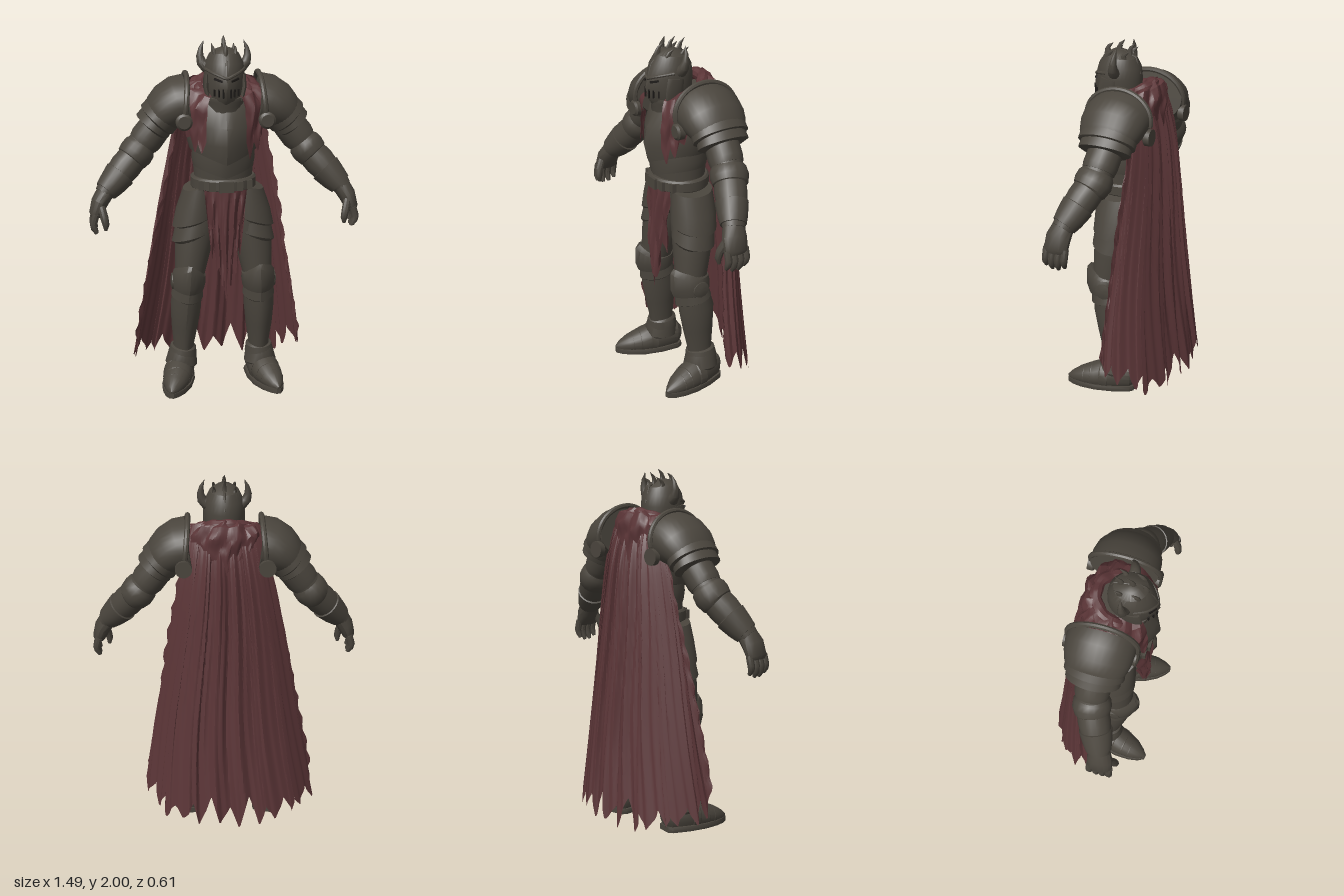
import * as THREE from 'three';
import { toCreasedNormals } from 'three/addons/utils/BufferGeometryUtils.js';

const armour = new THREE.MeshStandardMaterial({ color: 0x4a453d });
armour.name = 'dark steel';
const cloth = new THREE.MeshStandardMaterial({ color: 0x5b3537, side: THREE.DoubleSide });
cloth.name = 'worn red cloth';
const shadow = new THREE.MeshStandardMaterial({ color: 0x1d1a18 });
shadow.name = 'visor black';

const V = (x, y, z) => new THREE.Vector3(x, y, z);
const hash = n => { const s = Math.sin(n * 127.1 + 3.7) * 43758.5453; return s - Math.floor(s); };
const tri = t => Math.abs((t - Math.floor(t)) * 2 - 1);
const tent = (x, w) => Math.max(0, 1 - Math.abs(x) / w);

function add(parent, name, geo, mat = armour, crease = 0.6) {
  const mesh = new THREE.Mesh(toCreasedNormals(geo, crease), mat);
  mesh.name = name;
  parent.add(mesh);
  return mesh;
}

function meshFrom(pos, idx) {
  const g = new THREE.BufferGeometry();
  g.setAttribute('position', new THREE.Float32BufferAttribute(pos, 3));
  g.setIndex(idx);
  g.computeVertexNormals();
  return g;
}

// Closed loft along rows of [x, y, z, radius across, radius along ref]
function limb(rows, seg = 20, ref = V(0, 0, 1)) {
  const c = rows.map(r => V(r[0], r[1], r[2])), pos = [], idx = [], n = rows.length;
  rows.forEach((r, j) => {
    const T = c[Math.min(j + 1, n - 1)].clone().sub(c[Math.max(j - 1, 0)]).normalize();
    const B = ref.clone().addScaledVector(T, -ref.dot(T)).normalize(), A = B.clone().cross(T);
    for (let i = 0; i < seg; i++) {
      const a = i / seg * Math.PI * 2;
      const p = c[j].clone().addScaledVector(A, Math.cos(a) * r[3]).addScaledVector(B, Math.sin(a) * (r[4] ?? r[3]));
      pos.push(p.x, p.y, p.z);
    }
  });
  pos.push(...c[0].toArray(), ...c[n - 1].toArray());
  for (let i = 0; i < seg; i++) {
    const k = (i + 1) % seg, e = (n - 1) * seg;
    for (let j = 0; j < n - 1; j++) {
      const o = j * seg, q = o + seg;
      idx.push(o + i, o + k, q + k, o + i, q + k, q + i);
    }
    idx.push(n * seg, k, i, n * seg + 1, e + i, e + k);
  }
  return meshFrom(pos, idx);
}

// Open sheet from a rule (u, v in 0..1) => Vector3
function sheet(fn, nu, nv) {
  const pos = [], idx = [];
  for (let j = 0; j <= nv; j++) for (let i = 0; i <= nu; i++) pos.push(...fn(i / nu, j / nv).toArray());
  for (let j = 0; j < nv; j++) for (let i = 0; i < nu; i++) {
    const a = j * (nu + 1) + i, b = a + nu + 1;
    idx.push(a, b, a + 1, b, b + 1, a + 1);
  }
  return meshFrom(pos, idx);
}

function warp(geo, fn) {
  const p = geo.attributes.position, v = V(0, 0, 0);
  for (let i = 0; i < p.count; i++) { v.fromBufferAttribute(p, i); fn(v); p.setXYZ(i, v.x, v.y, v.z); }
  geo.computeVertexNormals();
  return geo;
}

// Ragged hem: pointed teeth of uneven length
function teeth(u, n, low, high) {
  const k = Math.floor(u * n), f = u * n - k;
  const notch = m => high * (0.6 + 0.4 * hash(m + 40)), tip = low + high * 0.35 * hash(k);
  return f < 0.55 ? THREE.MathUtils.lerp(notch(k), tip, f / 0.55) : THREE.MathUtils.lerp(tip, notch(k + 1), (f - 0.55) / 0.45);
}

function buildTorso(g) {
  add(g, 'belly plate', limb([[0, 1.1, .05, .165, .13], [0, 1.22, .05, .16, .14], [0, 1.32, .05, .17, .15], [0, 1.42, .05, .17, .15]], 28));
  // overlapping plates with a pointed lower edge and a centre ridge
  const plate = (name, rows, drop, k) => add(g, name, warp(limb(rows, 36), v => {
    if (v.z < .05) return;
    if (v.y < rows[1][1]) v.y -= drop * tent(v.x, .17);
    v.z += k * tent(v.x, .11) * tent(v.y - 1.42, .25);
  }));
  plate('waist lame', [[0, 1.29, .05, .168, .15], [0, 1.33, .05, .175, .157], [0, 1.4, .05, .17, .15]], .05, .03);
  plate('breastplate', [[0, 1.38, .05, .185, .16], [0, 1.42, .05, .197, .172], [0, 1.5, .045, .212, .177], [0, 1.6, .025, .205, .16],
    [0, 1.67, .015, .17, .14], [0, 1.72, .02, .1, .1]], .06, .045);
  add(g, 'gorget', limb([[0, 1.56, .06, .13, .13], [0, 1.61, .07, .125, .135], [0, 1.655, .08, .115, .125], [0, 1.66, .08, .125, .135], [0, 1.68, .08, .125, .135], [0, 1.685, .08, .11, .12]], 28));
  add(g, 'belt', limb([[0, 1.16, .05, .172, .155], [0, 1.17, .05, .182, .165], [0, 1.22, .05, .182, .165], [0, 1.23, .05, .172, .155]], 28));
  add(g, 'buckle', new THREE.BoxGeometry(.08, .06, .025)).position.set(0, 1.195, .212);
  for (const x of [-.13, -.075, .075, .13])
    add(g, 'belt fitting', new THREE.BoxGeometry(.035, .05, .025)).position.set(x, 1.195, .047 + .165 * Math.sqrt(1 - (x / .182) ** 2));
  add(g, 'hips', limb([[0, 1.0, .04, .08, .09], [0, 1.05, .04, .16, .13], [0, 1.17, .05, .17, .14]], 24));
}

function buildHead(g) {
  const helm = [[0, 1.63, .1, .08, .09], [0, 1.67, .1, .097, .112], [0, 1.74, .1, .106, .124], [0, 1.8, .1, .11, .125],
    [0, 1.86, .098, .104, .117], [0, 1.91, .095, .08, .09], [0, 1.935, .092, .045, .05], [0, 1.945, .09, .01, .01]];
  const ridge = (x, y) => .028 * tent(x, .08) * tent(y - 1.74, .14);
  add(g, 'helmet', warp(limb(helm, 32), v => { if (v.z > .1) v.z += ridge(v.x, v.y); }), armour, .5);
  const face = (x, y) => .1 + .125 * Math.sqrt(1 - (x / .11) ** 2) + ridge(x, y);
  // brow ridge and visor openings
  const brow = [-.105, -.07, -.035, 0, .035, .07, .105].map(x => V(x, 1.795 + Math.abs(x) * .35, face(x, 1.8) - .003));
  add(g, 'brow ridge', new THREE.TubeGeometry(new THREE.CatmullRomCurve3(brow), 24, .009, 8));
  add(g, 'crest ridge', limb([[0, 1.81, .232, .006], [0, 1.87, .213, .006], [0, 1.925, .165, .006], [0, 1.942, .09, .006], [0, 1.91, .005, .006], [0, 1.82, -.02, .006]], 8, V(1, 0, 0)));
  for (const s of [-1, 1]) {
    const slit = (name, x, y, w, h, tilt) => {
      const m = add(g, name, new THREE.BoxGeometry(w, h, .009), shadow);
      m.position.set(x * s, y, face(x, y) + .001);
      m.rotation.set(0, s * (.35 + x * 5), s * tilt, 'YXZ');
    };
    slit('eye slit', .045, 1.785, .05, .011, .25);
    for (const x of [.02, .042, .064]) slit('breath slit', x, 1.715, .007, .055 - x * .3, 0);
    add(g, 'cheek guard', limb([[.1 * s, 1.8, .12, .014, .05], [.102 * s, 1.73, .13, .014, .055], [.085 * s, 1.655, .15, .012, .03]], 12));
    add(g, 'horn', limb([[.075, 1.835, .09, .036], [.1, 1.838, .088, .033], [.121, 1.86, .085, .027], [.129, 1.895, .08, .02],
      [.124, 1.935, .075, .012], [.108, 1.975, .07, .001]].map(r => [r[0] * s, ...r.slice(1)]), 12));
    for (const z of [.05, .14]) spike(.05 * s, 1.895, z, 1.95);
  }
  function spike(x, y, z, top) {
    add(g, 'crown spike', limb([[x, y, z, .014, .024], [x * 1.1, (y * 2 + top) / 3, z + .004, .012, .018], [x * 1.15, (y + top * 2) / 3, z - .004, .008, .011], [x * 1.2, top, z - .03, .001]], 8));
  }
  spike(0, 1.91, .17, 1.975);
  spike(0, 1.92, .1, 2);
  spike(0, 1.9, .04, 1.985);
}

function buildArm(g, s) {
  const part = (name, rows, seg, ref) => add(g, name, limb(rows.map(([x, ...r]) => [x * s, ...r]), seg, ref));
  // shoulder
  part('pauldron', [[.195, 1.64, .005, .143, .184], [.245, 1.632, .005, .142, .186], [.295, 1.605, .005, .131, .18], [.335, 1.572, .005, .113, .166], [.362, 1.547, .005, .094, .148]], 32);
  part('upper shoulder lame', [[.325, 1.575, .005, .113, .16], [.36, 1.535, .005, .115, .162], [.367, 1.528, .005, .1, .145]], 28);
  part('lower shoulder lame', [[.35, 1.55, .005, .1, .142], [.385, 1.5, .005, .106, .148], [.392, 1.492, .005, .09, .12]], 28);
  const rim = [];
  for (let a = -.2; a <= Math.PI + .21; a += .175) rim.push(V(s * (.214 - .014 * Math.sin(a)), 1.632 + .155 * Math.sin(a), .007 + .188 * Math.cos(a)));
  add(g, 'pauldron rim', new THREE.TubeGeometry(new THREE.CatmullRomCurve3(rim), 40, .015, 8));
  for (const z of [.185, -.175])
    part('roundel', [[.225, 1.555, z - .02, .046], [.225, 1.555, z + .012, .046], [.225, 1.555, z + .022, .034]], 18, V(0, 1, 0));
  // arm
  part('upper arm', [[.28, 1.6, 0, .08, .09], [.37, 1.49, .005, .085, .09], [.47, 1.37, .02, .08, .085]]);
  part('upper arm plate', [[.365, 1.5, .005, .09, .095], [.42, 1.43, .012, .093, .095], [.44, 1.405, .014, .085, .09]]);
  part('elbow guard', [[.435, 1.41, .015, .07, .08], [.455, 1.385, .02, .092, .1], [.478, 1.355, .025, .096, .106], [.505, 1.325, .035, .088, .096], [.515, 1.315, .04, .07, .08]]);
  part('forearm', [[.47, 1.36, .02, .08, .085], [.54, 1.285, .055, .086, .088], [.6, 1.22, .085, .074, .078], [.665, 1.15, .115, .05, .06]]);
  part('gauntlet cuff', [[.565, 1.255, .068, .07, .07], [.57, 1.25, .07, .088, .09], [.62, 1.195, .095, .075, .08], [.65, 1.165, .11, .064, .07]]);
  // hand
  part('hand plate', [[.65, 1.165, .11, .05, .06], [.685, 1.11, .125, .048, .07], [.71, 1.045, .13, .036, .068], [.712, 1.03, .13, .025, .06]], 14);
  for (let i = 0; i < 4; i++) {
    const z = .075 + i * .036, d = i % 3 ? 0 : .015;
    part('finger', [[.708, 1.055, z, .02], [.724, 1.0, z, .02], [.72, .965 + d, z + .003, .018], [.706, .937 + d, z + .005, .01]], 10);
  }
  part('thumb', [[.68, 1.1, .17, .022], [.664, 1.04, .2, .022], [.656, 1.0, .205, .019], [.658, .968, .2, .009]], 10);
}

function buildLeg(g, s) {
  // the stance leans slightly to the right towards the feet
  const rowsOf = rows => rows.map(([x, y, ...r]) => [x * s - .014 * Math.max(0, 1 - y / .7), y, ...r]);
  const part = (name, rows, fn = () => {}, seg = 24, ref) => add(g, name, warp(limb(rowsOf(rows), seg, ref), fn));
  part('thigh', [[.11, 1.13, .045, .1, .115], [.145, .97, .05, .115, .118], [.175, .8, .07, .1, .105], [.192, .66, .085, .082, .088]]);
  // hip and thigh plates, hanging lower on the outside
  const slant = v => { v.y -= (v.x * s - .17) * .45; };
  part('hip plate', [[.135, 1.16, .045, .09, .12], [.15, 1.06, .045, .115, .128], [.163, .97, .05, .123, .128], [.165, .96, .05, .11, .115]], slant);
  part('thigh plate', [[.16, .97, .05, .11, .118], [.175, .885, .06, .116, .12], [.177, .875, .06, .1, .105]], slant);
  // knee, ridged at the front and peaked at the top
  const keel = v => { if (v.z > .09) v.z += .022 * tent(v.x * s - .197, .07); };
  const peak = v => { keel(v); if (v.z > .09 && v.y > .66) v.y += .045 * tent(v.x * s - .195, .08); };
  part('knee guard', [[.19, .685, .088, .08, .09], [.193, .672, .09, .092, .106], [.197, .63, .088, .096, .11], [.2, .585, .08, .09, .1], [.2, .575, .08, .078, .088]], peak);
  part('knee wing', [[.265, .62, .075, .055, .05], [.292, .62, .075, .048, .045], [.298, .62, .075, .02, .02]], undefined, 12, V(0, 1, 0));
  part('lower knee band', [[.2, .59, .08, .08, .09], [.203, .535, .068, .091, .1], [.204, .525, .066, .08, .09]], keel);
  part('greave', [[.2, .6, .075, .08, .085], [.208, .48, .055, .087, .1], [.213, .35, .045, .076, .085], [.216, .24, .035, .06, .07], [.222, .1, .02, .06, .065]],
    v => { if (v.z > .04) v.z += .012 * tent(v.x * s - .212, .06); });
  // boot
  part('ankle cuff', [[.218, .22, .033, .06, .07], [.218, .21, .032, .073, .085], [.222, .165, .03, .082, .092], [.223, .155, .03, .07, .08]]);
  part('ankle lame', [[.222, .18, .03, .078, .088], [.228, .11, .035, .092, .1], [.228, .1, .035, .085, .095]]);
  const foot = [[.208, .07, -.083, .04, .05], [.212, .075, -.06, .062, .08], [.235, .08, .04, .082, .1], [.26, .06, .14, .082, .076],
    [.282, .048, .22, .062, .053], [.296, .035, .27, .036, .034], [.303, .03, .3, .008, .013]];
  const up = V(0, 1, 0), fit = (lo, hi) => v => { v.y = THREE.MathUtils.clamp(v.y, lo, hi); };
  part('boot', foot, fit(.015, 1), 20, up);
  part('sole', foot.map(([x, , z, r]) => [x, .015, z, r + .005, .06]), fit(0, .03), 20, up);
  for (const [x, y, z, a, b] of [[.252, .068, .105, .087, .09], [.266, .057, .165, .079, .076], [.278, .05, .208, .068, .062]])
    part('foot lame', [[x - .01, y, z - .04, a, b], [x, y, z, a * .98, b * .97], [x, y, z + .006, a * .85, b * .85]], fit(.015, 1), 20, up);
}

function buildCloth(g) {
  // long back cape, wrapped round the body, pleated and torn at the hem
  add(g, 'cape', sheet((a, v) => {
    const u = a * 2 - 1, edge = Math.abs(u), b = u * 1.57;
    const y = 1.77 - .02 * u * u - v * (1.765 - teeth(a, 14, .015, .22) - .14 * u ** 4);
    const t = (1.78 - y) / 1.7;
    const pleat = Math.cos(u * 25 + 1.5 * Math.sin(u * 5) + .5 * Math.sin(t * 6)), small = tri(u * 13 + .3 * Math.sin(t * 7)) - .5;
    const w = .175 + .325 * t ** .85 + (edge > .97 ? .02 * (tri(y * 7) - .5) : 0);
    const n = (.015 * pleat + .014 * small) * Math.min(1, .15 + t * 4);
    const z = -.06 - .113 * (1 - Math.exp(-t * 14)) - .115 * t ** 1.5 + (.06 + .26 * t) * (1 - Math.cos(b)) ** 1.3;
    return V(w * Math.sin(b) + n * Math.sin(b) - .025 * t, y, z + n * Math.cos(b));
  }, 168, 32), cloth, .45);

  // mantle round the neck, with torn ends hanging over the chest
  add(g, 'mantle', sheet((a, v) => {
    const p = .48 + a * (Math.PI * 2 - .96), c = Math.cos(p), out = Math.min(1, v / .4), fall = Math.max(0, (v - .25) / .75);
    const hem = (c > 0 ? 1.62 - .25 * Math.min(1, c * 1.4) : 1.62 + .1 * c) + teeth(a, 21, 0, .12) - .04;
    const n = .014 * (tri(a * 10 + v * 1.2) - .5) + .007 * (tri(v * 3 + a * 6) - .5);
    const top = 1.745 - .045 * c - .03 * out, front = c > 0 ? .025 * out : 0;
    return V(Math.sin(p) * (.115 + .115 * out + n), top + (hem - top) * fall + n, .03 + front + c * (.125 + .06 * out + n));
  }, 168, 16), cloth, .45);
  // rolled collar, open over the gorget
  add(g, 'collar', sheet((a, v) => {
    const p = .6 + a * (Math.PI * 2 - 1.2), q = v * Math.PI * 2, r = (.03 + .007 * tri(a * 7 + v)) * Math.min(1, .2 + 6 * Math.min(a, 1 - a));
    return V(Math.sin(p) * (.13 + r * Math.cos(q)), 1.71 - .055 * Math.cos(p) + r * Math.sin(q), .045 + Math.cos(p) * (.13 + r * Math.cos(q)));
  }, 66, 10), cloth, .45);

  // torn cloth hanging from the belt
  add(g, 'loincloth', sheet((a, v) => {
    const u = a * 2 - 1, hem = .5 + .32 * Math.abs(u) + teeth(a, 7, 0, .13);
    const y = 1.175 - v * (1.175 - hem), k = Math.min(1, v * 4);
    return V(u * (.118 - .025 * v), y, .213 - .04 * u * u + .025 * k * (tri(u * 2 + .3 * Math.sin(v * 5)) - .5) + .008 * k * Math.sin(u * 17 + v * 4));
  }, 84, 14), cloth, .45);
}

export function createModel() {
  const model = new THREE.Group();
  model.name = 'armoured knight';
  const group = (name, build, ...args) => {
    const g = new THREE.Group();
    g.name = name;
    build(g, ...args);
    model.add(g);
  };
  group('torso', buildTorso);
  group('head', buildHead);
  for (const [side, s] of [['left', 1], ['right', -1]]) {
    group(side + ' arm', buildArm, s);
    group(side + ' leg', buildLeg, s);
  }
  group('cloth', buildCloth);
  return model;
}
